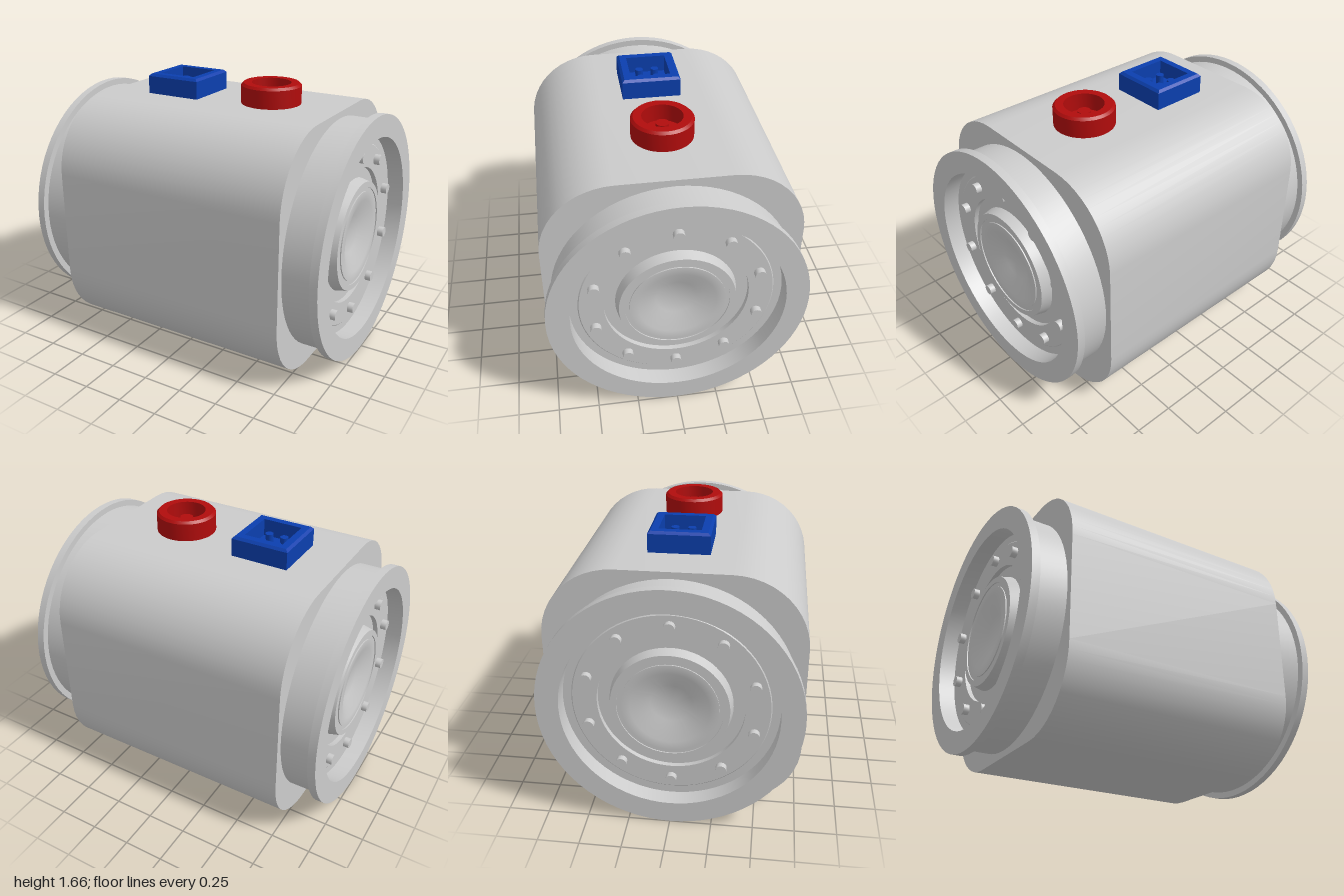
import * as THREE from 'three';
import { toCreasedNormals } from 'three/addons/utils/BufferGeometryUtils.js';

const R = 0.768; // half height of the housing, also the axis height
const grey = new THREE.MeshStandardMaterial({ color: 0xcccccc });
const blue = new THREE.MeshStandardMaterial({ color: 0x0b3fae });
const red = new THREE.MeshStandardMaterial({ color: 0xb00c0c });

function part(name, geometry, material, parent, x = 0, y = 0, z = 0) {
  const mesh = new THREE.Mesh(toCreasedNormals(geometry, 0.5), material);
  mesh.name = name;
  mesh.position.set(x, y, z);
  parent.add(mesh);
  return mesh;
}

function lathe(points, segments) {
  return new THREE.LatheGeometry(points.map(([r, y]) => new THREE.Vector2(r, y)), segments);
}

// Square tube body with rounded corners, running along x
function housingGeometry() {
  const c = 0.44, s = R - c;
  const shape = new THREE.Shape();
  shape.absarc(s, s, c, 0, Math.PI / 2);
  shape.absarc(-s, s, c, Math.PI / 2, Math.PI);
  shape.absarc(-s, -s, c, Math.PI, Math.PI * 1.5);
  shape.absarc(s, -s, c, Math.PI * 1.5, Math.PI * 2);
  const g = new THREE.ExtrudeGeometry(shape, { depth: 1.53, bevelEnabled: false, curveSegments: 6 });
  return g.translate(0, 0, -0.765).rotateY(Math.PI / 2);
}

// Neck, rim flange, recessed plate, hub and cup; y is distance from the middle
const endProfile = [
  [0.728, 0.76], [0.728, 0.95], [R, 0.95], [R, 1], [0.63, 1], [0.63, 0.895],
  [0.58, 0.895], [0.574, 0.9], [0.43, 0.9], [0.43, 0.87],
  [0.36, 0.87], [0.345, 0.935], [0.31, 0.935], [0.31, 0.928], [0.285, 0.928],
  [0.285, 0.935], [0.23, 0.935], [0.12, 0.88], [0, 0.88],
];

function endCap(name, side) {
  const cap = new THREE.Group();
  cap.name = name;
  part('flangeAndHub', lathe(endProfile, 72), grey, cap);
  for (let i = 0; i < 10; i++) {
    const a = (i / 10) * Math.PI * 2;
    part('bolt', new THREE.CylinderGeometry(0.033, 0.033, 0.045, 16), grey, cap,
      0.508 * Math.cos(a), 0.915, 0.508 * Math.sin(a));
  }
  cap.rotation.z = -side * Math.PI / 2;
  cap.position.y = R;
  return cap;
}

// Open cup with a chamfered rim; k scales half width to corner radius
function socketGeometry(half, inner, segments, k = 1) {
  return lathe([
    [half, 0], [half, 0.112], [half - 0.015, 0.127], [inner, 0.127], [inner, 0.02], [0, 0.02],
  ].map(([r, y]) => [r * k, y]), segments);
}

export function createModel() {
  const model = new THREE.Group();
  model.name = 'motorUnit';

  part('housing', housingGeometry(), grey, model, 0, R, 0);
  model.add(endCap('leftEnd', 1), endCap('rightEnd', -1));

  // Square socket with four pins
  const square = new THREE.Group();
  square.name = 'squareSocket';
  square.position.set(-0.31, 2 * R, 0);
  part('shell', socketGeometry(0.183, 0.125, 4, Math.SQRT2).rotateY(Math.PI / 4), blue, square);
  for (const x of [-0.05, 0.05]) {
    for (const z of [-0.05, 0.05]) {
      part('pin', new THREE.CylinderGeometry(0.025, 0.025, 0.07, 16), blue, square, x, 0.045, z);
    }
  }
  model.add(square);

  // Round socket with a single pin
  const round = new THREE.Group();
  round.name = 'roundSocket';
  round.position.set(0.305, 2 * R, 0);
  part('shell', socketGeometry(0.187, 0.122, 48), red, round);
  part('pin', new THREE.CylinderGeometry(0.04, 0.04, 0.07, 24), red, round, 0, 0.045, 0);
  model.add(round);

  return model;
}
